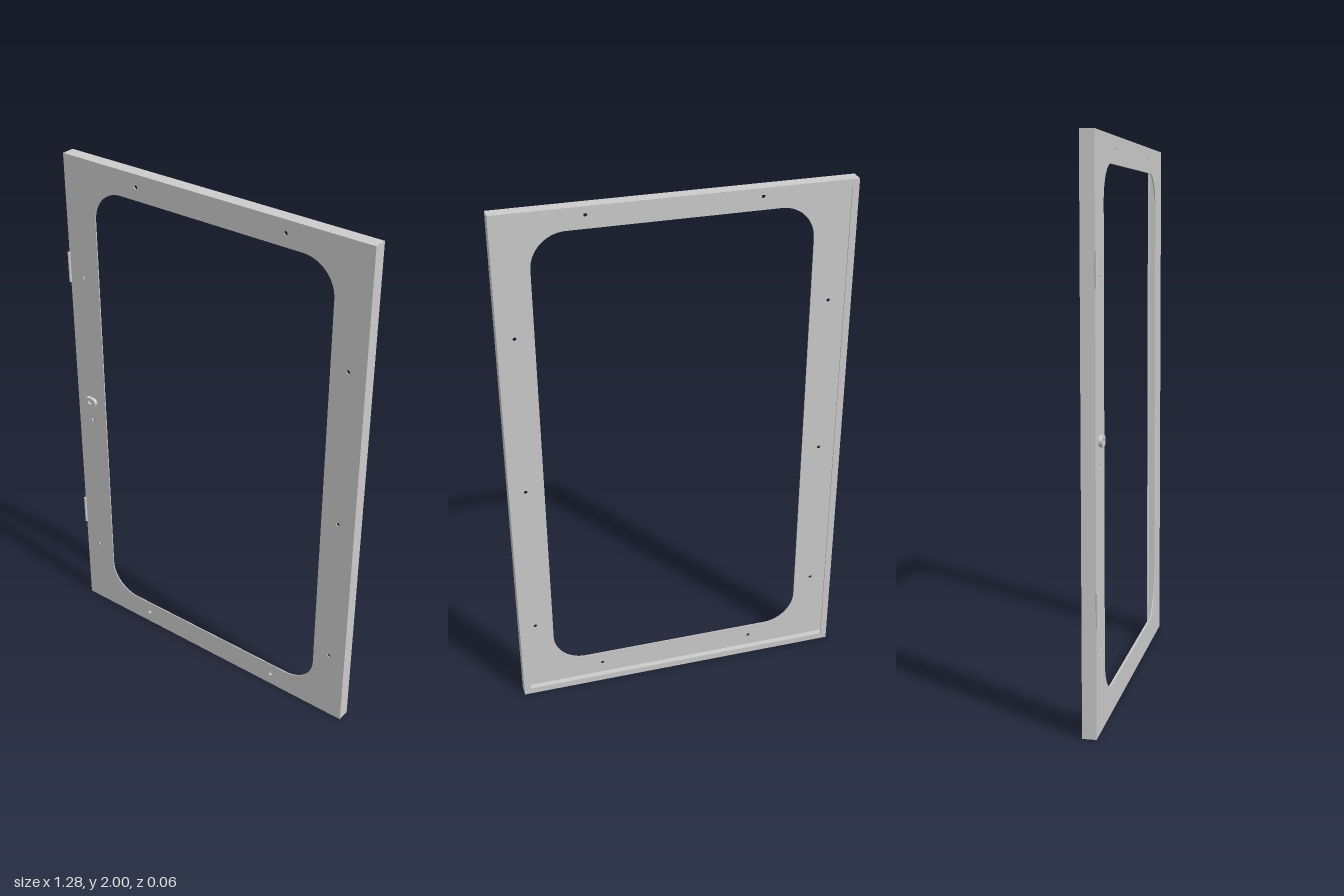
import * as THREE from 'three';

const W = 0.64, H = 2, BACK = -0.032, FRONT = 0.018, T = 0.004, LIP = 0.025;

// Closed rectangular outline
function rect(path, x, y0, y1) {
  path.moveTo(-x, y0);
  path.lineTo(x, y0);
  path.lineTo(x, y1);
  path.lineTo(-x, y1);
  path.closePath();
  return path;
}

// Rectangle with circular corners, centred on (cx, cy)
function roundRect(path, cx, cy, hx, hy, r) {
  path.moveTo(cx - hx + r, cy - hy);
  path.lineTo(cx + hx - r, cy - hy);
  path.absarc(cx + hx - r, cy - hy + r, r, -Math.PI / 2, 0);
  path.lineTo(cx + hx, cy + hy - r);
  path.absarc(cx + hx - r, cy + hy - r, r, 0, Math.PI / 2);
  path.lineTo(cx - hx + r, cy + hy);
  path.absarc(cx - hx + r, cy + hy - r, r, Math.PI / 2, Math.PI);
  path.lineTo(cx - hx, cy - hy + r);
  path.absarc(cx - hx + r, cy - hy + r, r, Math.PI, Math.PI * 1.5);
  return path;
}

function circle(x, y, r) {
  return new THREE.Path().absarc(x, y, r, 0, Math.PI * 2);
}

export function createModel() {
  const group = new THREE.Group();
  const material = new THREE.MeshStandardMaterial({ color: 0xcccccc });

  const add = (name, geometry) => {
    const mesh = new THREE.Mesh(geometry, material);
    mesh.name = name;
    group.add(mesh);
    return mesh;
  };
  const plate = (name, shape, z0, z1) => {
    const geometry = new THREE.ExtrudeGeometry(shape, { depth: z1 - z0, bevelEnabled: false, curveSegments: 16 });
    return add(name, geometry.translate(0, 0, z0));
  };

  // Front sheet with the window opening and screw holes
  const sheet = rect(new THREE.Shape(), W, 0, H);
  sheet.holes.push(roundRect(new THREE.Path(), 0, 1.002, 0.503, 0.902, 0.125));
  for (const side of [-1, 1]) {
    for (const y of [0.295, 0.915, 1.535]) sheet.holes.push(circle(side * 0.572, y, 0.007));
    for (const y of [0.05, 1.953]) sheet.holes.push(circle(side * 0.31, y, 0.007));
  }
  plate('frontPanel', sheet, FRONT - T, FRONT);

  // Folded edge running back from the sheet
  const flange = rect(new THREE.Shape(), W, 0, H);
  flange.holes.push(rect(new THREE.Path(), W - T, T, H - T));
  plate('edgeFlange', flange, BACK + T, FRONT - T);

  // Lip folded inward along the back
  const lip = rect(new THREE.Shape(), W, 0, H);
  lip.holes.push(rect(new THREE.Path(), W - LIP, LIP, H - LIP));
  plate('backLip', lip, BACK, BACK + T);

  // Hinge barrels on the front corner
  for (const y of [0.445, 1.56]) {
    add('hinge', new THREE.CylinderGeometry(0.005, 0.005, 0.12, 16)).position.set(-W, y, 0.0215);
  }

  // Oval lock plate with a sunken round key barrel
  const lockPlate = roundRect(new THREE.Shape(), -0.572, 1, 0.028, 0.0185, 0.0184);
  lockPlate.holes.push(circle(-0.572, 1, 0.009));
  plate('lockPlate', lockPlate, FRONT, 0.031);
  const barrel = add('lockBarrel', new THREE.CylinderGeometry(0.006, 0.006, 0.009, 16));
  barrel.rotation.x = Math.PI / 2;
  barrel.position.set(-0.572, 1, FRONT + 0.0045);

  return group;
}
